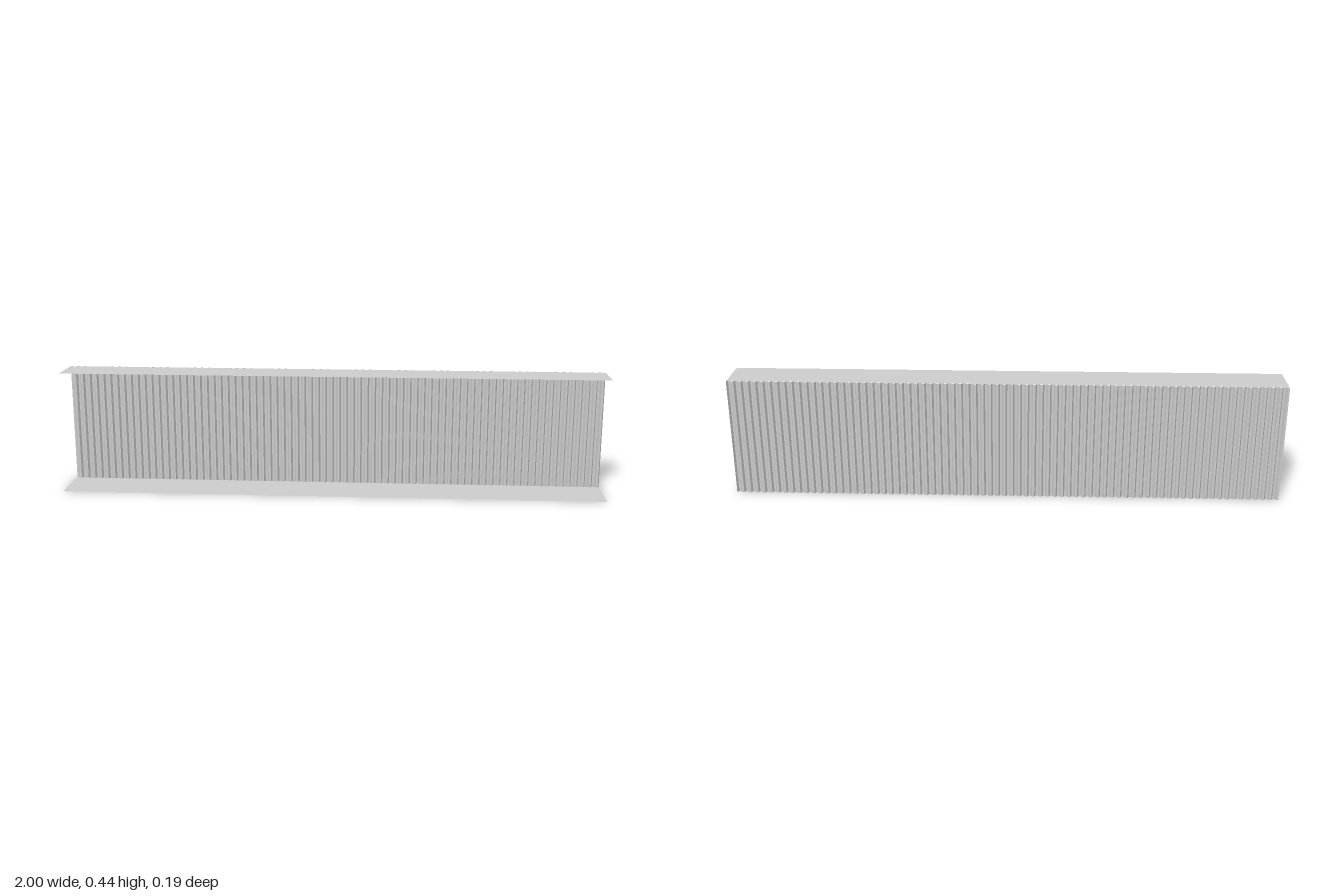
import * as THREE from 'three';

const LENGTH = 2, HEIGHT = 0.438;
const WAVES = 76, WALL_Z = -0.0925, DEPTH = 0.005;

const material = new THREE.MeshStandardMaterial({
  color: 0xcccccc, flatShading: true, side: THREE.DoubleSide,
});

// Thin sheet whose columns are moved into a trapezoidal corrugation
function corrugatedWall() {
  const geometry = new THREE.PlaneGeometry(LENGTH, HEIGHT, WAVES * 4, 1);
  const position = geometry.attributes.position;
  const columns = WAVES * 4 + 1, pitch = LENGTH / WAVES;
  const steps = [0, 0.3, 0.5, 0.8];
  const sides = [-1, -1, 1, 1];
  for (let i = 0; i < position.count; i++) {
    const column = i % columns, wave = Math.floor(column / 4), k = column % 4;
    position.setX(i, -LENGTH / 2 + (wave + steps[k]) * pitch);
    position.setZ(i, sides[k] * DEPTH);
  }
  geometry.computeVertexNormals();
  const wall = new THREE.Mesh(geometry, material);
  wall.name = 'corrugatedWall';
  wall.position.set(0, HEIGHT / 2, WALL_Z);
  return wall;
}

// Flat thin sheet reaching forward from the wall
function flange(name, y, frontZ) {
  const geometry = new THREE.PlaneGeometry(LENGTH, frontZ - WALL_Z).rotateX(-Math.PI / 2);
  const mesh = new THREE.Mesh(geometry, material);
  mesh.name = name;
  mesh.position.set(0, y, (frontZ + WALL_Z) / 2);
  return mesh;
}

export function createModel() {
  const group = new THREE.Group();
  group.name = 'corrugatedChannel';
  group.add(
    corrugatedWall(),
    flange('topFlange', HEIGHT, 0.05),
    flange('bottomFlange', 0, 0.09),
  );
  return group;
}
